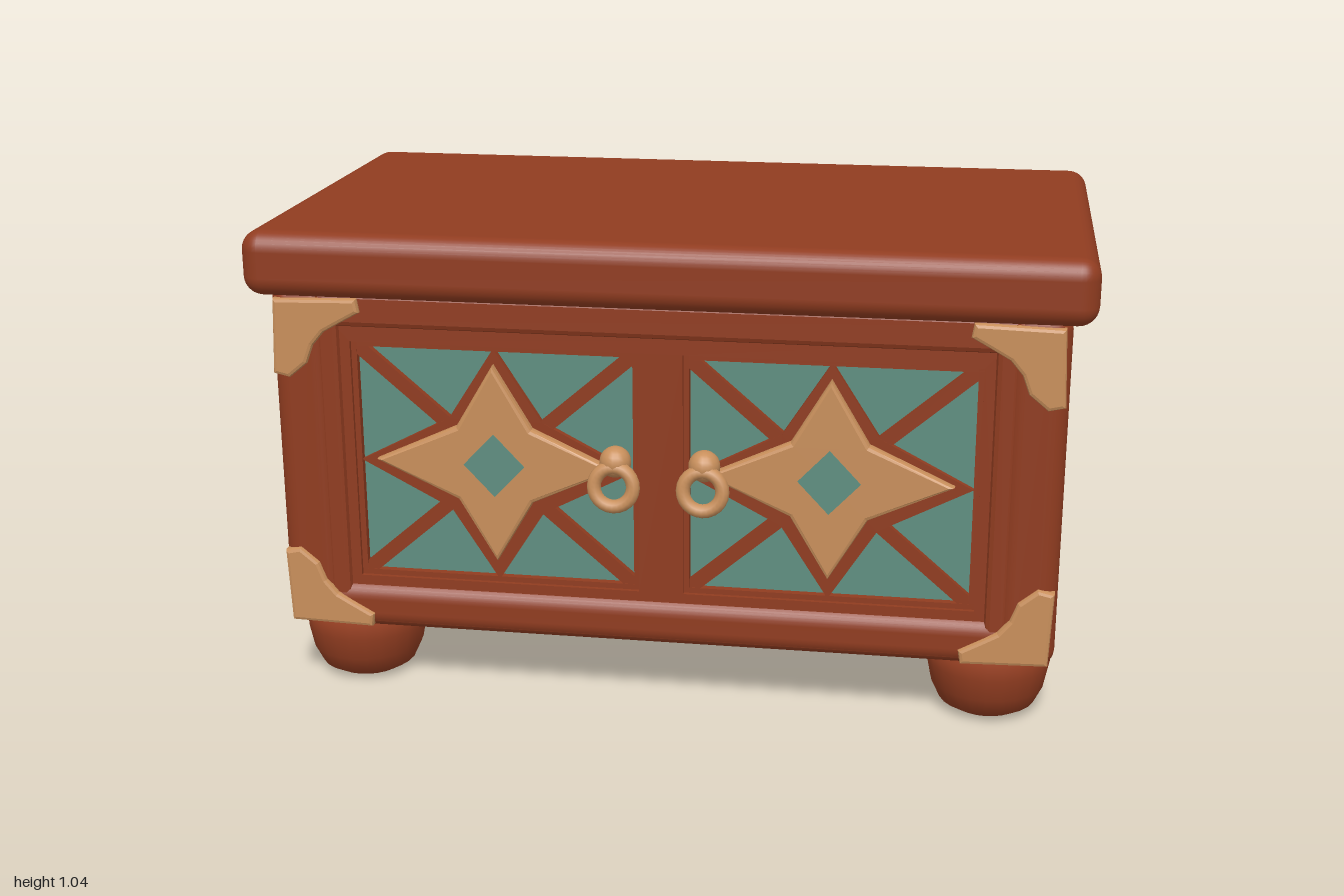
import * as THREE from 'three';
import { RoundedBoxGeometry } from 'three/addons/geometries/RoundedBoxGeometry.js';

export function createModel() {
  const material = (name, color) => {
    const m = new THREE.MeshStandardMaterial({ color });
    m.name = name;
    return m;
  };
  const wood = material('red brown wood', 0x903c20);
  const brass = material('pale brass', 0xc88f5b);
  const glass = material('teal glass', 0x5f8e80);
  const greyGlass = material('grey glass', 0x74857f);

  const add = (parent, name, geometry, mat, x = 0, y = 0, z = 0) => {
    const mesh = new THREE.Mesh(geometry, mat);
    mesh.name = name;
    mesh.position.set(x, y, z);
    parent.add(mesh);
    return mesh;
  };
  const rounded = (w, h, d, r) => new RoundedBoxGeometry(w, h, d, 4, r);
  const extrude = (shape, depth, bevel = 0) => new THREE.ExtrudeGeometry(shape, {
    depth, curveSegments: 10, bevelEnabled: bevel > 0,
    bevelSize: bevel, bevelThickness: bevel, bevelOffset: -bevel, bevelSegments: 2,
  });
  const rect = (C, x0, y0, x1, y1) => new C([
    new THREE.Vector2(x0, y0), new THREE.Vector2(x1, y0),
    new THREE.Vector2(x1, y1), new THREE.Vector2(x0, y1)]);

  // Four-pointed star with tips at (a, 0) and (0, b), notches at (n, n)
  const star = (C, a, b, n) => {
    const s = new C();
    const tips = [[a, 0], [0, b], [-a, 0], [0, -b]];
    const notches = [[n, n], [-n, n], [-n, -n], [n, -n]];
    s.moveTo(a, 0);
    for (let i = 0; i < 4; i++) {
      s.lineTo(...notches[i]);
      s.lineTo(...tips[(i + 1) % 4]);
    }
    return s;
  };

  const cabinet = new THREE.Group();
  cabinet.name = 'cabinet';

  // Table top, floor and corner posts
  add(cabinet, 'tableTop', rounded(1.775, 0.14, 1.0, 0.042), wood, 0, 0.97, 0);
  add(cabinet, 'floor', rounded(1.68, 0.11, 0.935, 0.04), wood, 0, 0.2, 0);
  for (const sx of [-1, 1]) for (const sz of [-1, 1]) {
    add(cabinet, 'cornerPost', rounded(0.13, 0.78, 0.13, 0.04), wood, sx * 0.775, 0.535, sz * 0.403);
  }

  // Bulbous feet
  const footProfile = [[0, 0], [0.075, 0.002], [0.105, 0.02], [0.124, 0.06], [0.134, 0.11], [0.13, 0.155], [0, 0.16]]
    .map(([x, y]) => new THREE.Vector2(x, y));
  const footGeo = new THREE.LatheGeometry(footProfile, 24);
  for (const sx of [-1, 1]) for (const sz of [-1, 1]) add(cabinet, 'foot', footGeo, wood, sx * 0.703, 0, sz * 0.326);

  // Long side with a pair of glazed doors
  const HW = 0.31, HH = 0.267, CX = 0.358, CY = 0.535;
  const buildDoorSide = () => {
    const side = new THREE.Group();
    side.name = 'doorSide';
    const frame = rect(THREE.Shape, -0.74, 0.16, 0.74, 0.91);
    frame.holes.push(rect(THREE.Path, -0.69, 0.235, 0.69, 0.835));
    add(side, 'sideFrame', extrude(frame, 0.05, 0.012), wood, 0, 0, 0.403);
    const doors = rect(THREE.Shape, -0.72, 0.2, 0.72, 0.86);
    for (const s of [-1, 1]) {
      doors.holes.push(rect(THREE.Path, s * CX - HW, CY - HH, s * CX + HW, CY + HH));
    }
    add(side, 'doorFrames', extrude(doors, 0.05), wood, 0, 0, 0.403);

    for (const s of [-1, 1]) {
      const door = new THREE.Group();
      door.name = 'door';
      door.position.set(s * CX, CY, 0);
      side.add(door);
      add(door, 'pane', new THREE.BoxGeometry(HW * 2, HH * 2, 0.008), glass, 0, 0, 0.424);

      // Wooden lattice: diagonals, thin border and a star-shaped surround
      const angle = Math.atan2(HH, HW);
      for (const d of [-1, 1]) {
        for (const e of [-1, 1]) {
          const bar = add(door, 'latticeBar', new THREE.BoxGeometry(0.31, 0.03, 0.02), wood, e * 0.192, e * d * 0.165, 0.433);
          bar.rotation.z = d * angle;
        }
        add(door, 'border', new THREE.BoxGeometry(HW * 2, 0.012, 0.022), wood, 0, d * (HH - 0.006), 0.433);
        add(door, 'border', new THREE.BoxGeometry(0.012, HH * 2, 0.022), wood, d * (HW - 0.006), 0, 0.433);
      }
      add(door, 'starSurround', extrude(star(THREE.Shape, HW - 0.012, HH - 0.006, 0.102), 0.014), wood, 0, 0, 0.43);

      // Brass star with a glazed centre
      const badge = star(THREE.Shape, 0.26, 0.22, 0.082);
      add(door, 'brassStar', extrude(badge, 0.012, 0.009), brass, 0, 0.008, 0.444);
      add(door, 'starPane', extrude(star(THREE.Shape, 0.066, 0.07, 0.034), 0.004), glass, 0, 0.008, 0.464);

      // Ring pull and stud
      const px = -s * (CX - 0.095);
      add(door, 'pullStud', new THREE.SphereGeometry(0.034, 16, 12), brass, px, 0.03, 0.462);
      const ring = add(door, 'pullRing', new THREE.TorusGeometry(0.042, 0.015, 10, 24), brass, px, -0.018, 0.487);
      ring.rotation.x = -0.15;
    }

    // Brass corner brackets
    for (const sx of [-1, 1]) for (const top of [false, true]) {
      const sy = top ? -1 : 1;
      const pts = [[0.012, 0.005], [0.195, 0], [0.2, 0.03], [0.155, 0.055], [0.12, 0.075], [0.095, 0.105], [0.08, 0.145], [0.04, 0.178], [0.005, 0.17]]
        .map(([x, y]) => new THREE.Vector2(-sx * x, sy * y));
      add(side, 'cornerBracket', extrude(new THREE.Shape(pts), 0.018, 0.008), brass, sx * 0.838, top ? 0.9 : 0.155, 0.452);
    }
    return side;
  };

  // Short end with an opening, slats and a round boss
  const buildEnd = () => {
    const end = new THREE.Group();
    end.name = 'end';
    const panel = rect(THREE.Shape, -0.42, 0.16, 0.42, 0.91);
    const opening = new THREE.Path();
    opening.moveTo(-0.31, 0.885);
    opening.lineTo(-0.31, 0.57);
    opening.quadraticCurveTo(-0.22, 0.57, -0.17, 0.63);
    opening.quadraticCurveTo(0, 0.7, 0.17, 0.63);
    opening.quadraticCurveTo(0.22, 0.59, 0.3, 0.61);
    opening.lineTo(0.3, 0.885);
    opening.closePath();
    panel.holes.push(opening);
    add(end, 'endPanel', extrude(panel, 0.04, 0.012), wood, 0, 0, 0.778);

    for (const [x, w, tilt] of [[-0.115, 0.13, 0.07], [0.085, 0.18, -0.04]]) {
      const slat = add(end, 'slat', rounded(w, 0.34, 0.04, 0.015), wood, x, 0.75, 0.78);
      slat.rotation.z = tilt;
    }
    // Narrow panes along both edges of the opening
    for (const x of [-0.28, 0.275]) {
      add(end, 'edgePane', new THREE.BoxGeometry(0.06, 0.32, 0.008), greyGlass, x, 0.73, 0.785);
    }
    const boss = add(end, 'boss', new THREE.SphereGeometry(0.19, 28, 16), wood, 0.03, 0.45, 0.82);
    boss.scale.z = 0.12;
    const rim = add(end, 'bossRim', new THREE.TorusGeometry(0.2, 0.028, 10, 36), wood, 0.03, 0.45, 0.815);
    rim.scale.z = 0.8;
    return end;
  };

  for (const turn of [0, Math.PI]) {
    const side = buildDoorSide();
    side.rotation.y = turn;
    const end = buildEnd();
    end.rotation.y = turn + Math.PI / 2;
    cabinet.add(side, end);
  }

  // The cabinet stands diagonally
  cabinet.rotation.y = -0.99;
  const model = new THREE.Group();
  model.name = 'lowCabinet';
  model.add(cabinet);
  return model;
}
